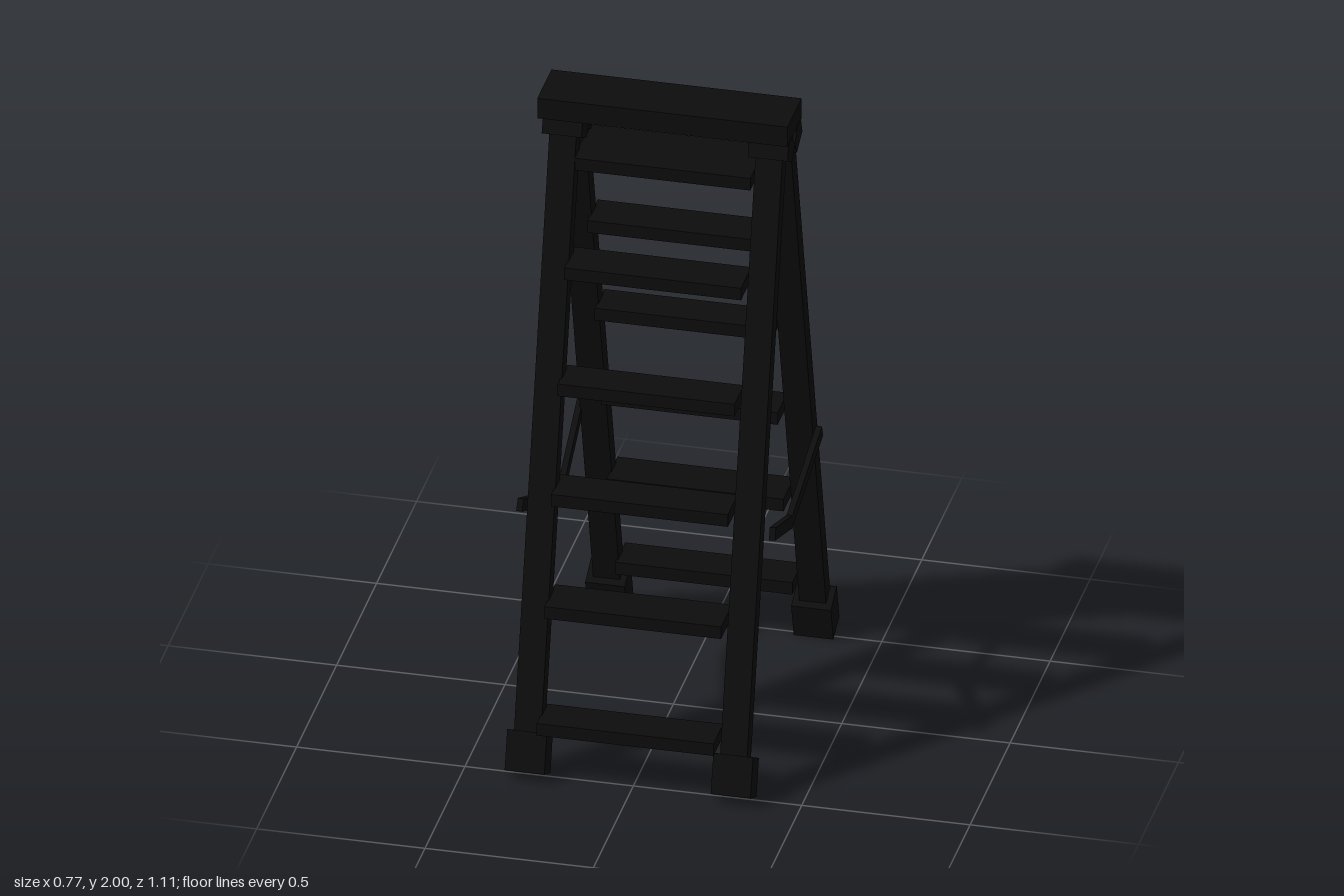
import * as THREE from 'three';

const black = new THREE.MeshStandardMaterial({ color: 0x0d0d0d });

// Solid with a [z, y] outline, spanning x0..x1
function slab(name, outline, x0, x1) {
  const shape = new THREE.Shape(outline.map(([z, y]) => new THREE.Vector2(z, y)));
  const geo = new THREE.ExtrudeGeometry(shape, { depth: x1 - x0, bevelEnabled: false });
  geo.rotateY(-Math.PI / 2).translate(x1, 0, 0);
  const mesh = new THREE.Mesh(geo, black);
  mesh.name = name;
  return mesh;
}

// Flat bar running between two points
function bar(name, from, to) {
  const a = new THREE.Vector3(...from), b = new THREE.Vector3(...to);
  const mesh = new THREE.Mesh(new THREE.BoxGeometry(0.018, 0.038, a.distanceTo(b) + 0.02), black);
  mesh.position.copy(a).add(b).multiplyScalar(0.5);
  mesh.lookAt(b);
  mesh.name = name;
  return mesh;
}

export function createModel() {
  const ladder = new THREE.Group();
  ladder.name = 'stepladder';

  // Outlines of one side's fittings; s mirrors them from front to back
  const rail = [[0.53, 0.1], [0.475, 0.1], [0.018, 1.9], [0.073, 1.9]];
  const foot = [[0.556, 0.035], [0.48, 0], [0.45, 0.112], [0.523, 0.153]];
  const bracket = [[0.075, 1.94], [0.093, 1.89], [0.026, 1.855], [0, 1.895], [0.03, 1.94]];
  // Treads: height, inner and outer z
  const treads = [
    [0.18, 0.432, 0.553], [0.515, 0.322, 0.458], [0.84, 0.25, 0.373],
    [1.16, 0.173, 0.29], [1.5, 0.08, 0.209],
  ];

  for (const [side, s] of [['front', 1], ['back', -1]]) {
    const frame = new THREE.Group();
    frame.name = side + 'Frame';
    const flip = (pts) => pts.map(([z, y]) => [z * s, y]);
    for (const [hand, x] of [['Right', -0.31], ['Left', 0.302]]) {
      frame.add(slab(side + hand + 'Rail', flip(rail), x - 0.04, x + 0.04));
      frame.add(slab(side + hand + 'Foot', flip(foot), x - 0.059, x + 0.059));
      frame.add(slab(side + hand + 'Bracket', flip(bracket), x - 0.059, x + 0.059));
    }
    treads.forEach(([y, inner, outer], i) => {
      const tread = new THREE.Mesh(new THREE.BoxGeometry(0.525, 0.04, outer - inner), black);
      tread.position.set(-0.012, y, (s * (inner + outer)) / 2);
      tread.name = side + 'Tread' + (i + 1);
      frame.add(tread);
    });
    ladder.add(frame);
  }

  // Wide upper shelf joining both frames
  const shelf = new THREE.Mesh(new THREE.BoxGeometry(0.525, 0.04, 0.205), black);
  shelf.position.set(-0.012, 1.8, -0.01);
  shelf.name = 'upperShelf';
  ladder.add(shelf);

  // Top cap
  const cap = new THREE.Mesh(new THREE.BoxGeometry(0.743, 0.066, 0.176), black);
  cap.position.set(-0.012, 1.967, -0.002);
  cap.name = 'topCap';
  ladder.add(cap);

  // Folding spreader bars on the outer faces
  const spreaders = [
    ['right', [-0.374, 0.79, 0.33], [-0.337, 0.648, 0], [-0.357, 0.76, -0.335]],
    ['left', [0.374, 0.79, 0.33], [0.345, 0.648, 0], [0.352, 0.76, -0.335]],
  ];
  for (const [hand, front, hinge, back] of spreaders) {
    ladder.add(bar(hand + 'FrontSpreader', front, hinge));
    ladder.add(bar(hand + 'BackSpreader', back, hinge));
  }
  return ladder;
}
